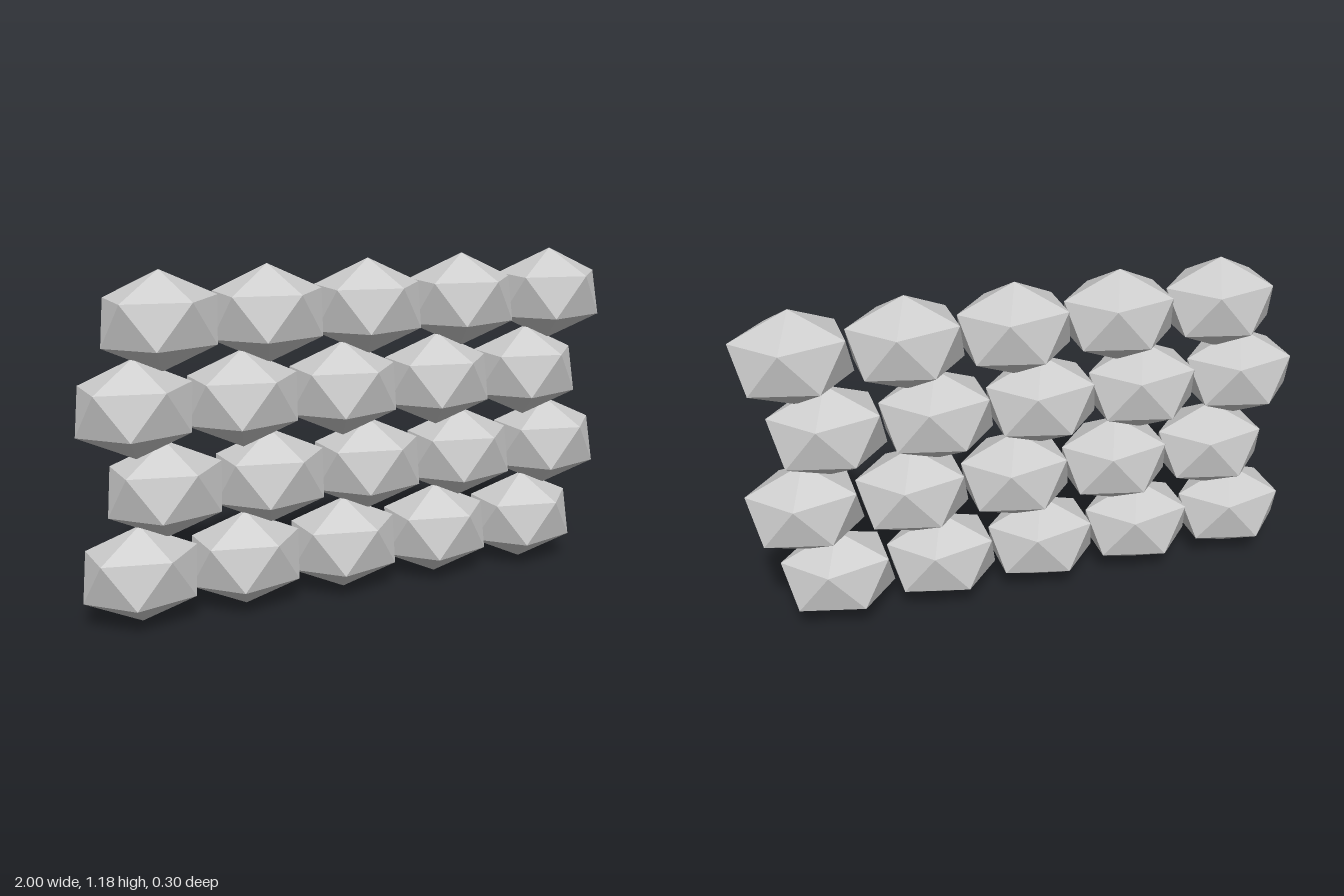
import * as THREE from 'three';

const ROWS = 4, COLUMNS = 5;
const PITCH_X = 0.376, PITCH_Y = 0.282, ROW_SHIFT = 0.096;
const RADIUS = { x: 0.2236, y: 0.168, z: 0.1775 };

// Icosahedron standing on one vertex, with an upper-ring vertex toward +x, stretched sideways
function createStoneGeometry() {
  const geometry = new THREE.IcosahedronGeometry(1, 0);
  geometry.rotateX(-Math.atan((1 + Math.sqrt(5)) / 2));
  geometry.rotateY(Math.PI / 2);
  geometry.scale(RADIUS.x, RADIUS.y, RADIUS.z);
  return geometry;
}

export function createModel() {
  const model = new THREE.Group();
  model.name = 'stoneWall';

  const stoneMaterial = new THREE.MeshStandardMaterial({ color: 0xcccccc, flatShading: true });
  stoneMaterial.name = 'stone grey';
  const stoneGeometry = createStoneGeometry();

  // Courses of stones, every second course shifted sideways
  for (let row = 0; row < ROWS; row++) {
    const course = new THREE.Group();
    course.name = `course${row + 1}`;
    course.position.set(-0.8 + (row % 2) * ROW_SHIFT, 0.17 + row * PITCH_Y, 0);
    for (let column = 0; column < COLUMNS; column++) {
      const stone = new THREE.Mesh(stoneGeometry, stoneMaterial);
      stone.name = `stone${column + 1}`;
      stone.position.x = column * PITCH_X;
      course.add(stone);
    }
    model.add(course);
  }
  return model;
}
